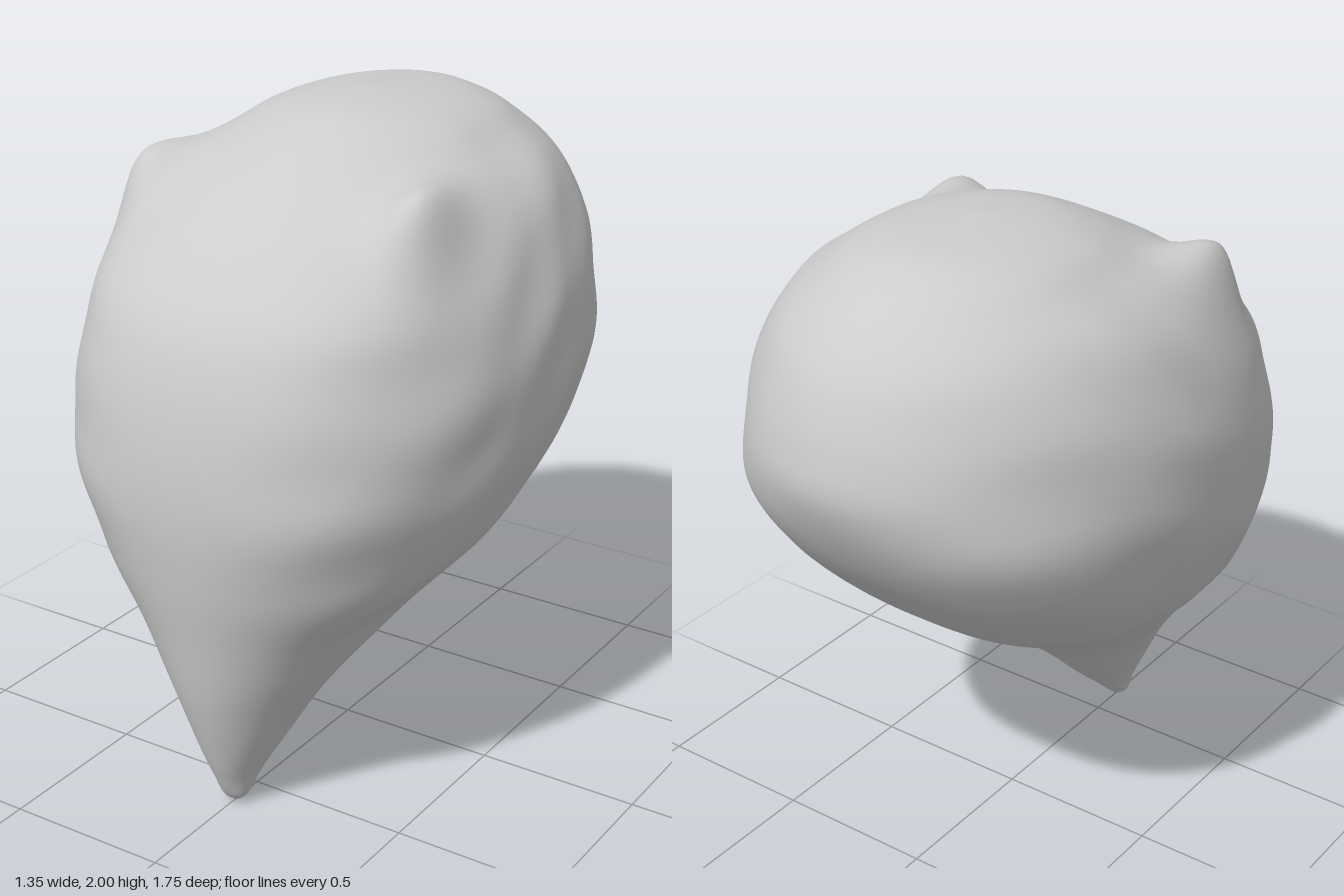
import * as THREE from 'three';

// Horizontal sections from the tip up: height, front z, back z, half width
const sections = [
  [0, 0.61, 0.61, 0], [0.03, 0.645, 0.575, 0.04], [0.1, 0.68, 0.5, 0.065], [0.2, 0.72, 0.39, 0.115],
  [0.4, 0.78, 0.18, 0.225], [0.6, 0.82, -0.09, 0.375], [0.8, 0.855, -0.39, 0.54], [1.0, 0.875, -0.61, 0.63],
  [1.2, 0.865, -0.77, 0.67], [1.4, 0.82, -0.865, 0.67], [1.55, 0.745, -0.855, 0.64], [1.7, 0.595, -0.8, 0.58],
  [1.8, 0.45, -0.73, 0.505], [1.88, 0.31, -0.645, 0.4], [1.94, 0.19, -0.545, 0.31], [1.98, 0.07, -0.42, 0.18],
  [2.0, -0.13, -0.13, 0],
];
const RINGS = 128, SIDES = 112;

const { smoothstep } = THREE.MathUtils;
const power = (v, p) => Math.sign(v) * Math.abs(v) ** p;
const bell = (d, s) => Math.exp(-(d * d) / (2 * s * s));

// Raised bump on each upper side, steep in front and trailing off behind
function addBump(p) {
  const side = Math.sign(p.x);
  const dz = p.z - 0.34;
  const f = bell(Math.abs(p.x) - 0.44, 0.065) * bell(dz, dz > 0 ? 0.085 : 0.14) * bell(p.y - 1.73, 0.13);
  p.x += side * 0.02 * f;
  p.y += 0.105 * f;
  p.z += 0.025 * f;
}

// Shallow slanting folds on the flanks and a groove above the underside
function addFolds(p, out) {
  const flank = Math.min(1, Math.abs(p.x) / 0.4) ** 2;
  const along = p.y * 0.85 + p.z * 0.5;
  const ripple = Math.sin(along * 22 + Math.sin(p.z * 5) * 1.5) * Math.sin(p.z * 6 - p.y * 4 + 1);
  const groove = bell(p.y - (0.66 - 0.4 * (p.z - 0.4)), 0.05) * bell(p.z - 0.4, 0.18);
  p.addScaledVector(out, flank * (0.006 * ripple - 0.012 * groove));
}

function bodyGeometry() {
  const outline = new THREE.CatmullRomCurve3(
    sections.map(([y, f, b]) => new THREE.Vector3(f, y, b)), false, 'catmullrom', 0.5);
  const width = new THREE.CatmullRomCurve3(
    sections.map(([y, , , w]) => new THREE.Vector3(w, y, 0)), false, 'catmullrom', 0.5);
  const positions = [], index = [];
  const p = new THREE.Vector3(), out = new THREE.Vector3();

  for (let i = 0; i <= RINGS; i++) {
    const o = outline.getPoint(i / RINGS), w = Math.max(0, width.getPoint(i / RINGS).x);
    const centre = (o.x + o.z) / 2, half = (o.x - o.z) / 2;
    // Sections are fuller than an ellipse: the brow in front, the underside behind
    const frontFull = 0.18 * smoothstep(o.y, 0.5, 1.1) * (1 - smoothstep(o.y, 1.85, 2));
    const backFull = 0.22 * smoothstep(o.y, 0.45, 0.85) * (1 - smoothstep(o.y, 1.15, 1.5));
    for (let j = 0; j < SIDES; j++) {
      const a = (j / SIDES) * Math.PI * 2, s = Math.sin(a), c = Math.cos(a);
      const e = 1 - (c > 0 ? frontFull : backFull) * Math.sqrt(Math.abs(c));
      p.set(w * power(s, e), o.y, centre + half * power(c, e));
      out.set(s, 0, c);
      if (i > 0 && i < RINGS) {
        addFolds(p, out);
        addBump(p);
      }
      positions.push(p.x, p.y, p.z);
    }
  }
  for (let i = 0; i < RINGS; i++) {
    for (let j = 0; j < SIDES; j++) {
      const k = (j + 1) % SIDES;
      const a = i * SIDES + j, b = i * SIDES + k, c = a + SIDES, d = b + SIDES;
      if (i > 0) index.push(a, b, d);
      if (i < RINGS - 1) index.push(a, d, c);
    }
  }
  const geometry = new THREE.BufferGeometry();
  geometry.setAttribute('position', new THREE.Float32BufferAttribute(positions, 3));
  geometry.setIndex(index);
  geometry.computeVertexNormals();
  // The two poles get plain vertical normals
  const n = geometry.attributes.normal;
  for (let j = 0; j < SIDES; j++) {
    n.setXYZ(j, 0, -1, 0);
    n.setXYZ(RINGS * SIDES + j, 0, 1, 0);
  }
  return geometry;
}

export function createModel() {
  const group = new THREE.Group();
  group.name = 'taperedHead';
  const body = new THREE.Mesh(bodyGeometry(), new THREE.MeshStandardMaterial({ color: 0xcccccc }));
  body.name = 'headBody';
  group.add(body);
  return group;
}
